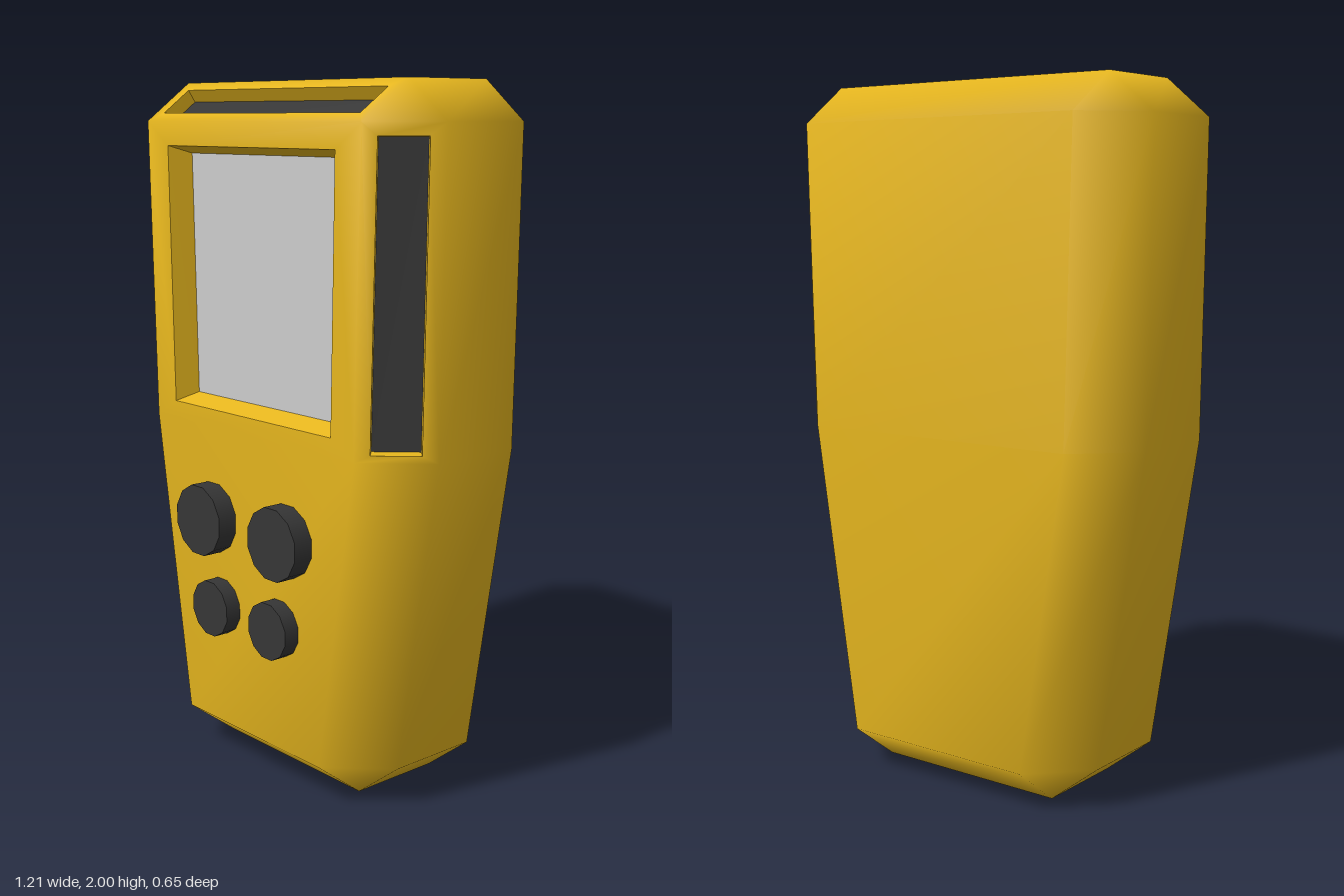
import * as THREE from 'three';
import { mergeVertices } from 'three/addons/utils/BufferGeometryUtils.js';

const V = (x, y, z) => new THREE.Vector3(x, y, z);
const yellow = new THREE.MeshStandardMaterial({ color: 0xe6b61e });
const dark = new THREE.MeshStandardMaterial({ color: 0x363636 });
const grey = new THREE.MeshStandardMaterial({ color: 0xcccccc });

// Adds a quad (counter-clockwise from outside), skipping collapsed triangles
function addQuad(list, a, b, c, d) {
  for (const t of [[a, b, c], [a, c, d]]) {
    const area = t[1].clone().sub(t[0]).cross(t[2].clone().sub(t[0])).length();
    if (area > 1e-7) list.push(...t);
  }
}

function toGeometry(points, smooth) {
  let g = new THREE.BufferGeometry().setFromPoints(points);
  if (smooth) g = mergeVertices(g);
  g.computeVertexNormals();
  return g;
}

function addMesh(group, name, geometry, material) {
  const m = new THREE.Mesh(geometry, material);
  m.name = name;
  group.add(m);
  return m;
}

// Outline of the case at one height: an eight-sided section
function section(y, side, face) {
  const half = [[face, 0.27], [side, 0.11], [side, -0.17], [face, -0.325]];
  return [
    ...half.map(([x, z]) => V(x, y, z)),
    ...half.slice().reverse().map(([x, z]) => V(-x, y, z)),
  ];
}

// Top and bottom caps: the section with each bevelled corner drawn to a point
function cap(y, w) {
  return [[w, 0.115], [w, 0.115], [w, -0.17], [w, -0.17], [-w, -0.17], [-w, -0.17], [-w, 0.115], [-w, 0.115]]
    .map(([x, z]) => V(x, y, z));
}

export function createModel() {
  const group = new THREE.Group();
  group.name = 'handheldDevice';

  const rings = [
    cap(0, 0.3),
    section(0.12, 0.452, 0.3),
    section(1.02, 0.594, 0.44),
    section(1.89, 0.605, 0.462),
    cap(2, 0.47),
  ];

  // Recesses, keyed by ring and side: span across (u) and up (v), depth, floor inset
  const recesses = {
    '2,7': { name: 'screen', u: [0.105, 0.895], v: [0.06, 0.92], depth: 0.07, inset: 0.022, mat: grey },
    '2,0': { name: 'leftGrip', u: [0.19, 0.8], v: [0.023, 0.96], depth: 0.04, inset: 0.002, mat: dark },
    '2,6': { name: 'rightGrip', u: [0.2, 0.81], v: [0.023, 0.96], depth: 0.04, inset: 0.002, mat: dark },
    '3,7': { name: 'topStrip', u: [0.043, 0.957], v: [0.2, 0.8], depth: 0.04, inset: 0.002, mat: dark },
  };

  const shell = [];
  for (let i = 0; i < rings.length - 1; i++) {
    for (let j = 0; j < 8; j++) {
      const k = (j + 1) % 8;
      const outer = [rings[i][j], rings[i][k], rings[i + 1][k], rings[i + 1][j]];
      const r = recesses[`${i},${j}`];
      if (!r) {
        addQuad(shell, ...outer);
        continue;
      }
      // Opening on the face, then its sunken floor
      const at = (u, v) => outer[0].clone().lerp(outer[1], u)
        .lerp(outer[3].clone().lerp(outer[2], u), v);
      const [u0, u1] = r.u, [v0, v1] = r.v;
      const rim = [at(u0, v0), at(u1, v0), at(u1, v1), at(u0, v1)];
      const across = rim[1].clone().sub(rim[0]).normalize();
      const up = rim[3].clone().add(rim[2]).sub(rim[0]).sub(rim[1]).normalize();
      const normal = across.clone().cross(up).normalize();
      const signs = [[1, 1], [-1, 1], [-1, -1], [1, -1]];
      const floor = rim.map((p, n) => p.clone()
        .addScaledVector(normal, -r.depth)
        .addScaledVector(across, signs[n][0] * r.inset)
        .addScaledVector(up, signs[n][1] * r.inset));
      const walls = [], panel = [];
      for (let n = 0; n < 4; n++) {
        const m = (n + 1) % 4;
        addQuad(shell, outer[n], outer[m], rim[m], rim[n]);
        addQuad(walls, rim[n], rim[m], floor[m], floor[n]);
      }
      addQuad(panel, ...floor);
      addMesh(group, r.name + 'Recess', toGeometry(walls, false), yellow);
      addMesh(group, r.name, toGeometry(panel, false), r.mat);
    }
  }
  // Close the ends
  const [bottom, top] = [rings[0], rings[4]];
  addQuad(shell, top[0], top[2], top[4], top[6]);
  addQuad(shell, bottom[6], bottom[4], bottom[2], bottom[0]);
  addMesh(group, 'case', toGeometry(shell, true), yellow);

  // Round buttons, two large above two small
  for (const [name, x, y, radius, front] of [
    ['largeButton', 0.168, 0.75, 0.106, 0.33],
    ['smallButton', 0.132, 0.487, 0.084, 0.318],
  ]) {
    for (const s of [-1, 1]) {
      const depth = front - 0.25;
      const g = new THREE.CylinderGeometry(radius, radius, depth, 12, 1, false, Math.PI / 12);
      g.rotateX(Math.PI / 2);
      addMesh(group, name + (s > 0 ? 'Left' : 'Right'), g, dark)
        .position.set(s * x, y, front - depth / 2);
    }
  }
  return group;
}
